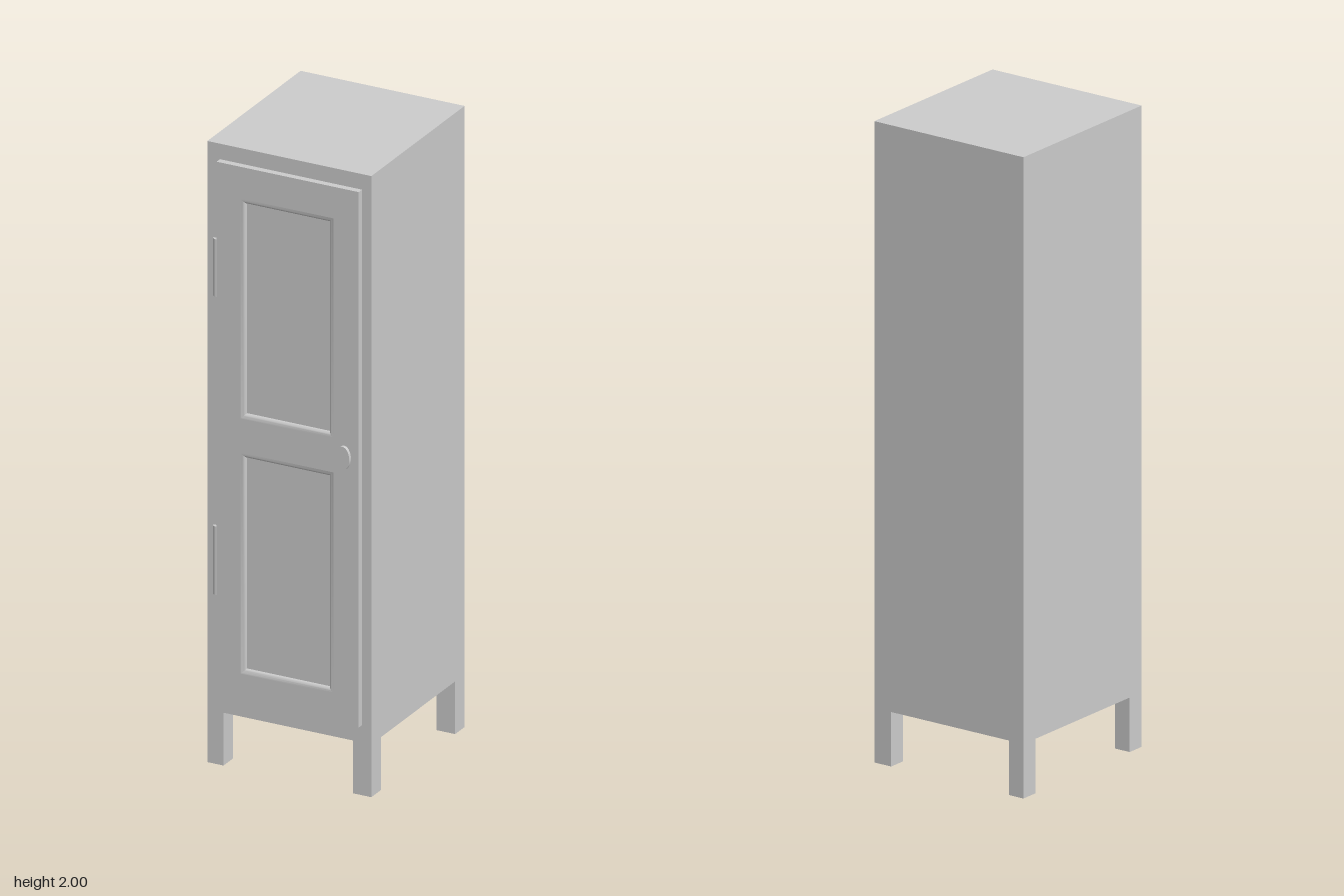
import * as THREE from 'three';
import { toCreasedNormals } from 'three/addons/utils/BufferGeometryUtils.js';

const grey = new THREE.MeshStandardMaterial({ color: 0xcccccc });

function add(parent, name, geometry) {
  const mesh = new THREE.Mesh(geometry, grey);
  mesh.name = name;
  parent.add(mesh);
  return mesh;
}

// Box given by its limits on each axis
function block(parent, name, [x0, x1], [y0, y1], [z0, z1]) {
  const mesh = add(parent, name, new THREE.BoxGeometry(x1 - x0, y1 - y0, z1 - z0));
  mesh.position.set((x0 + x1) / 2, (y0 + y1) / 2, (z0 + z1) / 2);
  return mesh;
}

// Corners of a rectangle, counter-clockwise from the front
const corners = (x0, x1, y0, y1) => [[x0, y0], [x1, y0], [x1, y1], [x0, y1]];

// Rounded moulding sloping from the door face down to a recessed panel
function mouldingGeometry([x0, x1], [y0, y1], zTop, depth, width, steps = 6) {
  const positions = [], index = [];
  for (let i = 0; i <= steps; i++) {
    const a = (i / steps) * Math.PI / 2;
    const inset = width * Math.sin(a);
    const z = zTop - depth * (1 - Math.cos(a));
    for (const [x, y] of corners(x0 + inset, x1 - inset, y0 + inset, y1 - inset)) positions.push(x, y, z);
  }
  for (let i = 0; i < steps; i++) {
    for (let k = 0; k < 4; k++) {
      const a = i * 4 + k, b = i * 4 + (k + 1) % 4;
      index.push(a, b, b + 4, a, b + 4, a + 4);
    }
  }
  const geometry = new THREE.BufferGeometry();
  geometry.setAttribute('position', new THREE.Float32BufferAttribute(positions, 3));
  geometry.setIndex(index);
  return toCreasedNormals(geometry, 0.5);
}

export function createModel() {
  const model = new THREE.Group();
  model.name = 'cabinet';

  // Carcass and four square legs
  const front = 0.275, back = -0.309, side = 0.274;
  block(model, 'carcass', [-side, side], [0.17, 2], [back, front]);
  for (const x of [[-side, -0.22], [0.212, side]]) {
    block(model, 'frontLeg', x, [0, 0.17], [0.216, front]);
    block(model, 'backLeg', x, [0, 0.17], [back, -0.25]);
  }

  // Door: backing slab, frame with two openings, and mouldings
  const door = new THREE.Group();
  door.name = 'door';
  model.add(door);
  const doorX = [-0.232, 0.243], doorY = [0.226, 1.95], face = 0.296, depth = 0.011;
  block(door, 'doorPanel', doorX, doorY, [front, face - depth]);
  const toPoints = (x, y) => corners(...x, ...y).map(([px, py]) => new THREE.Vector2(px, py));
  const frame = new THREE.Shape(toPoints(doorX, doorY));
  const panelX = [-0.152, 0.158];
  for (const panelY of [[0.318, 1.03], [1.14, 1.848]]) {
    frame.holes.push(new THREE.Path(toPoints(panelX, panelY).reverse()));
    add(door, 'panelMoulding', mouldingGeometry(panelX, panelY, face, depth, 0.016));
  }
  const frameMesh = add(door, 'doorFrame', new THREE.ExtrudeGeometry(frame, { depth, bevelEnabled: false }));
  frameMesh.position.z = face - depth;

  // Oval knob
  const knob = add(door, 'knob', new THREE.CylinderGeometry(1, 1, 0.011, 32));
  knob.rotation.x = Math.PI / 2;
  knob.scale.set(0.023, 1, 0.038);
  knob.position.set(0.194, 1.086, face + 0.0055);

  // Hinge barrels
  for (const [y0, y1] of [[1.51, 1.695], [0.55, 0.77]]) {
    const hinge = add(model, 'hinge', new THREE.CylinderGeometry(0.011, 0.011, y1 - y0, 20));
    hinge.position.set(-0.242, (y0 + y1) / 2, 0.276);
  }

  return model;
}
